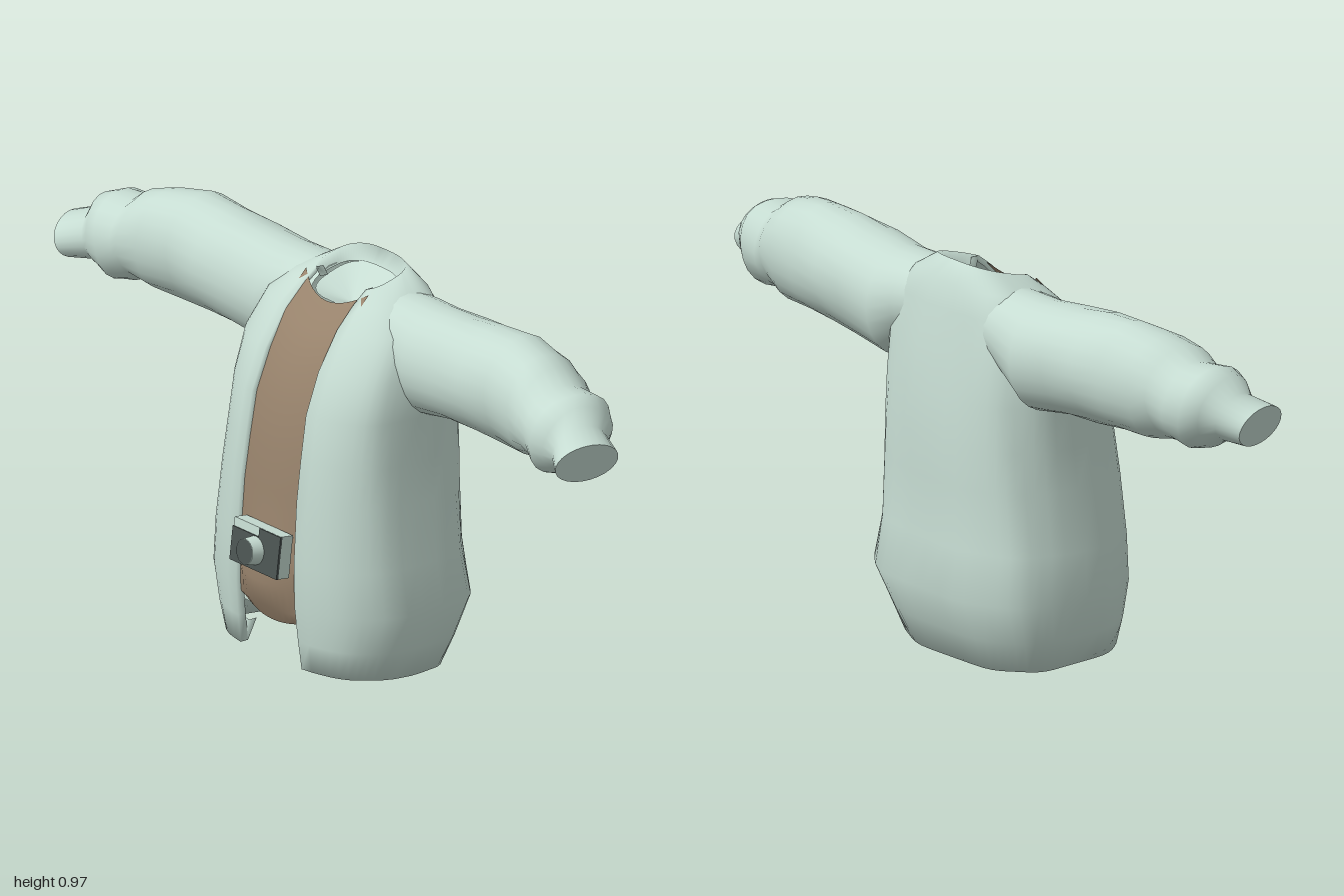
import * as THREE from 'three';

const mat = (name, color, side = THREE.DoubleSide) => {
  const m = new THREE.MeshStandardMaterial({ color, side });
  m.name = name;
  return m;
};

// Skin a grid of points; rows follow the length, columns go across or around.
function loft(rows, closed = false) {
  const n = rows[0].length, index = [];
  for (let r = 0; r < rows.length - 1; r++) {
    for (let c = 0; c < (closed ? n : n - 1); c++) {
      const d = (c + 1) % n, a = r * n + c, b = r * n + d;
      index.push(a, b, b + n, a, b + n, a + n);
    }
  }
  const g = new THREE.BufferGeometry();
  g.setAttribute('position', new THREE.Float32BufferAttribute(rows.flat(2), 3));
  g.setIndex(index);
  g.computeVertexNormals();
  return g;
}

const soft = (v, p) => Math.sign(v) * Math.abs(v) ** p;
const P = 0.7;

// Rounded-box outline of the torso; yF and yB are the heights at front and back.
function outline([yF, yB, w, zF, zB], t) {
  const x = w * soft(Math.sin(t), P);
  const k = soft(Math.cos(t), P);
  return [x, (yF + yB) / 2 + (yF - yB) / 2 * k, (zF + zB) / 2 + (zF - zB) / 2 * k];
}

export function createModel() {
  const model = new THREE.Group();
  const cloth = mat('pale green cloth', 0xc6dcd2);
  const brown = mat('brown shirt', 0x98836c);
  const dark = mat('dark grey', 0x4b5452);
  const add = (name, geometry, material, parent = model) => {
    const m = new THREE.Mesh(geometry, material);
    m.name = name;
    parent.add(m);
    return m;
  };

  // Jacket body: yFront, yBack, half width, zFront, zBack, half gap
  const body = [
    [0.08, 0.05, 0.25, 0.165, -0.165, 0.115],
    [0.03, 0.0, 0.275, 0.19, -0.19, 0.115],
    [0.10, 0.08, 0.3, 0.198, -0.225, 0.113],
    [0.19, 0.18, 0.322, 0.206, -0.268, 0.11],
    [0.30, 0.30, 0.308, 0.206, -0.25, 0.108],
    [0.45, 0.45, 0.29, 0.197, -0.25, 0.106],
    [0.55, 0.55, 0.284, 0.183, -0.247, 0.104],
    [0.66, 0.66, 0.28, 0.165, -0.24, 0.102],
    [0.76, 0.76, 0.28, 0.125, -0.225, 0.1],
    [0.85, 0.86, 0.25, 0.068, -0.21, 0.098],
    [0.90, 0.92, 0.19, 0.02, -0.195, 0.096],
    [0.925, 0.968, 0.115, -0.005, -0.165, 0.094],
    [0.90, 0.93, 0.1, -0.01, -0.145, 0.09],
  ];
  const COLS = 48;
  const bodyRows = body.map((s, r) => {
    const t0 = Math.asin((s[5] / s[2]) ** (1 / P));
    const row = [];
    for (let i = 0; i <= COLS; i++) {
      const t = t0 + (Math.PI * 2 - 2 * t0) * i / COLS;
      const p = outline(s, t);
      // gentle folds, fading at the collar and the front edges
      const f = r > 0 && r < 9 ? 0.006 * Math.sin(t * 9 + r * 0.7) * Math.sin(Math.PI * i / COLS) : 0;
      p[0] += f * Math.sin(t);
      p[2] += f * Math.cos(t) * 0.5;
      row.push(p);
    }
    // turned-in front edges
    const turn = ([x, y, z]) => [x, y, z - 0.022];
    return [turn(row[0]), ...row, turn(row[COLS])];
  });
  add('jacketBody', loft(bodyRows), cloth);

  // Sleeve: x, y, z, half height, half depth, slant of the ring
  const sleeve = [
    [0.10, 0.835, -0.095, 0.088, 0.095, 0],
    [0.20, 0.82, -0.1, 0.105, 0.11, 0],
    [0.28, 0.79, -0.1, 0.135, 0.118, 0],
    [0.40, 0.805, -0.095, 0.13, 0.122, 0],
    [0.50, 0.81, -0.09, 0.133, 0.118, 0],
    [0.60, 0.815, -0.088, 0.135, 0.112, 0],
    [0.70, 0.81, -0.075, 0.127, 0.112, 0],
    [0.755, 0.808, -0.062, 0.112, 0.112, 0],
    [0.79, 0.79, -0.055, 0.1, 0.102, 0.1],
    [0.84, 0.787, -0.045, 0.105, 0.11, 0.2],
    [0.88, 0.785, -0.035, 0.09, 0.09, 0.25],
    [0.905, 0.775, -0.022, 0.06, 0.068, 0.3],
    [0.968, 0.762, 0.006, 0.051, 0.077, 0.35],
  ];
  const ring = ([x, y, z, h, d, slant], r) => Array.from({ length: 24 }, (_, i) => {
    const a = i / 24 * Math.PI * 2;
    const k = 1 + (r > 2 && r < 11 ? 0.025 * Math.sin(a * 4 + r * 1.9) : 0);
    const dy = h * k * Math.cos(a), dz = d * k * Math.sin(a);
    return [x + slant * (dy - 0.8 * dz), y + dy, z + dz];
  });
  const sleeveRows = sleeve.map(ring);
  const end = sleeveRows[sleeveRows.length - 1];
  const [ex, ey, ez] = sleeve[sleeve.length - 1];
  const sleeveGeo = loft(sleeveRows, true);
  const cuffGeo = loft([end, end.map(() => [ex, ey, ez])], true);
  for (const side of [1, -1]) {
    const arm = new THREE.Group();
    arm.name = side > 0 ? 'leftSleeve' : 'rightSleeve';
    add('sleeve', sleeveGeo, cloth, arm);
    add('cuffEnd', cuffGeo, cloth, arm);
    arm.scale.x = side;
    model.add(arm);
  }

  // Lining closing the torso underneath, and the hollow inside the collar
  const disc = (s, centre) => {
    const rim = Array.from({ length: 32 }, (_, i) => outline(s, i / 32 * Math.PI * 2));
    return loft([rim.map(() => centre), rim], true);
  };
  add('bottomLining', disc([0.135, 0.06, 0.27, 0.175, -0.2], [0, 0.097, -0.012]), cloth);
  add('neckHollow', disc([0.88, 0.93, 0.1, 0.005, -0.15], [0, 0.86, -0.06]), cloth);

  // Shirt front: y, z at the middle of the strip
  const shirt = [
    [0.12, 0.18], [0.16, 0.2], [0.23, 0.228], [0.29, 0.204], [0.45, 0.192],
    [0.55, 0.177], [0.66, 0.158], [0.76, 0.118], [0.83, 0.075], [0.885, 0.02],
  ];
  const shirtRows = shirt.map(([y, z], r) => Array.from({ length: 13 }, (_, i) => {
    const u = i / 6 - 1;
    const bend = r === 9 ? 0.04 : r === 8 ? 0.02 : r === 0 ? 0.02 : 0;
    const drop = r === 2 ? 0.045 : r === 9 ? 0.035 : 0.016;
    return [u * 0.118, y + bend * u * u, z - drop * u * u];
  }));
  add('shirtFront', loft(shirtRows), brown);

  // Camera hanging in front of the shirt
  const camera = new THREE.Group();
  camera.name = 'camera';
  camera.position.set(0.012, 0.315, 0.222);
  camera.rotation.x = -0.12;
  add('cameraBody', new THREE.BoxGeometry(0.175, 0.105, 0.036), cloth, camera);
  add('cameraFace', new THREE.BoxGeometry(0.177, 0.083, 0.006), dark, camera).position.set(0, -0.011, 0.018);
  add('cameraTopPlate', new THREE.BoxGeometry(0.08, 0.022, 0.006), dark, camera).position.set(0.049, 0.041, 0.018);
  const lens = add('lensBarrel', new THREE.CylinderGeometry(0.031, 0.035, 0.034, 20), cloth, camera);
  lens.rotation.x = Math.PI / 2;
  lens.position.set(0, -0.005, 0.035);
  add('lensGlass', new THREE.CircleGeometry(0.03, 20), dark, camera).position.set(0, -0.005, 0.0525);
  model.add(camera);

  return model;
}
